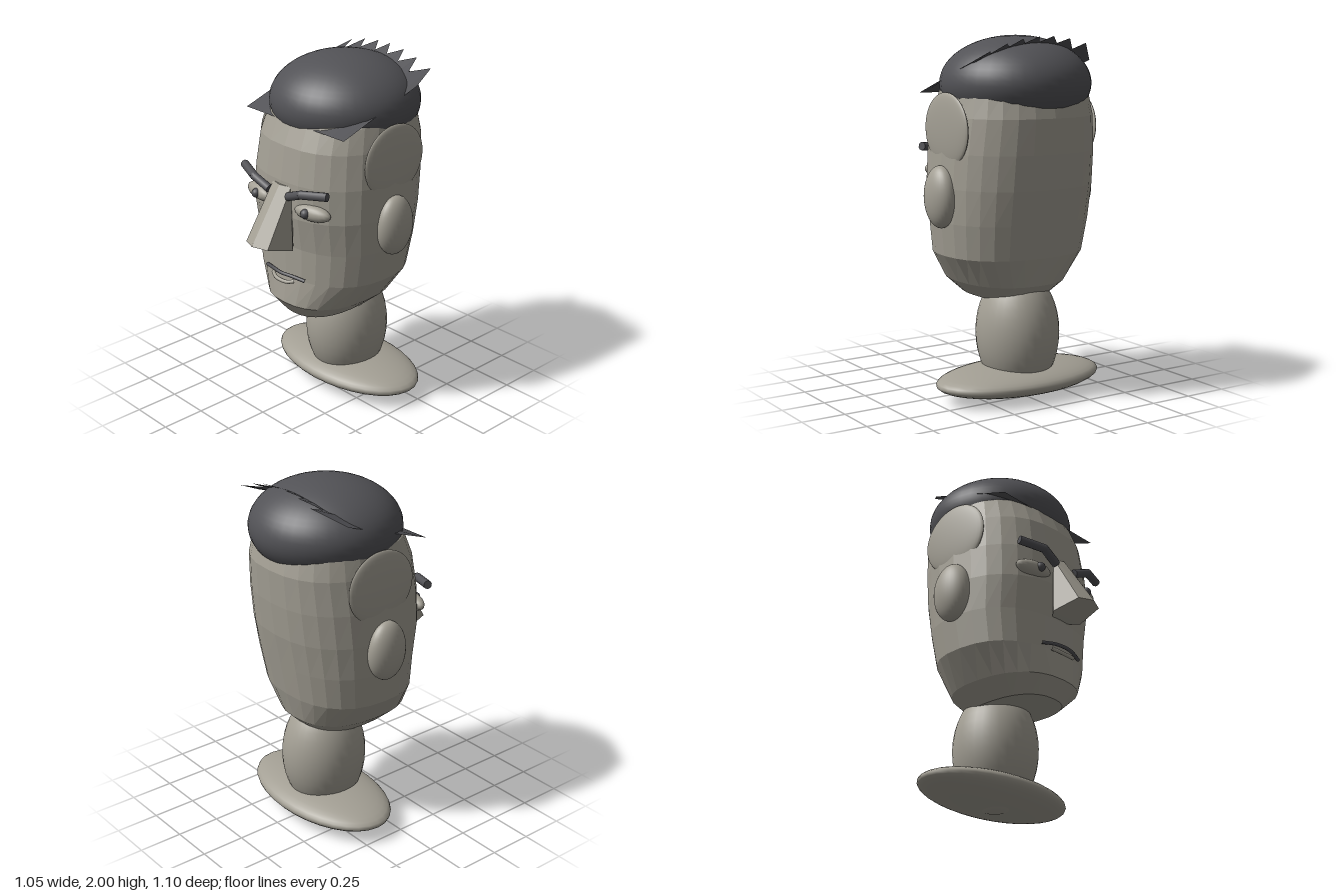
import * as THREE from 'three';

const skin = new THREE.MeshStandardMaterial({ color: 0xa39f94 });
skin.name = 'skin';
const skinFaceted = skin.clone();
skinFaceted.flatShading = true;
skinFaceted.name = 'skin faceted';
const hair = new THREE.MeshStandardMaterial({ color: 0x525256 });
hair.name = 'hair';
const hairSheet = hair.clone();
hairSheet.side = THREE.DoubleSide;
hairSheet.flatShading = true;
hairSheet.name = 'hair sheet';

export function createModel() {
  const model = new THREE.Group();
  model.name = 'headBust';

  const add = (name, geometry, material) => {
    const mesh = new THREE.Mesh(geometry, material);
    mesh.name = name;
    model.add(mesh);
    return mesh;
  };
  const ellipsoid = (name, material, pos, radii, w = 32, h = 20) => {
    const mesh = add(name, new THREE.SphereGeometry(1, w, h), material);
    mesh.position.set(...pos);
    mesh.scale.set(...radii);
    return mesh;
  };
  const rod = (name, material, a, b, r) => {
    const p = new THREE.Vector3(...a), q = new THREE.Vector3(...b);
    const mesh = add(name, new THREE.CylinderGeometry(r, r, p.distanceTo(q), 10), material);
    mesh.position.copy(p).add(q).multiplyScalar(0.5);
    mesh.quaternion.setFromUnitVectors(new THREE.Vector3(0, 1, 0), q.sub(p).normalize());
    return mesh;
  };
  const indexed = (points, index) => {
    const g = new THREE.BufferGeometry();
    g.setAttribute('position', new THREE.Float32BufferAttribute(points.flat(), 3));
    g.setIndex(index);
    g.computeVertexNormals();
    return g;
  };

  // Head: rounded-square rings [y, half width, front z, back z]
  const rings = [
    [0.56, 0.195, 0.26, -0.28], [0.65, 0.30, 0.33, -0.37], [0.81, 0.41, 0.31, -0.415],
    [1.0, 0.435, 0.315, -0.45], [1.19, 0.445, 0.345, -0.485], [1.38, 0.44, 0.338, -0.505],
    [1.57, 0.42, 0.31, -0.515], [1.7, 0.395, 0.255, -0.485], [1.85, 0.25, 0.1, -0.36],
  ];
  const N = 28, pts = [], idx = [];
  const bend = (v) => Math.sign(v) * Math.pow(Math.abs(v), 2 / 2.4);
  for (const [y, hx, zf, zb] of rings) {
    for (let i = 0; i < N; i++) {
      const a = (i / N) * Math.PI * 2;
      pts.push([hx * bend(Math.sin(a)), y, (zf + zb) / 2 + ((zf - zb) / 2) * bend(Math.cos(a))]);
    }
  }
  for (let r = 0; r < rings.length - 1; r++) {
    for (let i = 0; i < N; i++) {
      const j = (i + 1) % N, a = r * N + i, b = r * N + j;
      idx.push(a, b, b + N, a, b + N, a + N);
    }
  }
  const last = (rings.length - 1) * N;
  for (let i = 1; i < N - 1; i++) idx.push(0, i + 1, i, last, last + i, last + i + 1);
  add('head', indexed(pts, idx), skinFaceted);

  // Neck and shoulder base
  ellipsoid('neck', skin, [0, 0.36, -0.157], [0.23, 0.355, 0.245]);
  ellipsoid('shoulderBase', skin, [0, 0.105, -0.17], [0.51, 0.085, 0.29]);

  // Nose: wedge with a slightly ridged front
  const nose = [
    [-0.072, 1.36, 0.33], [0, 1.36, 0.35], [0.072, 1.36, 0.33],
    [-0.115, 1.01, 0.36], [-0.088, 1.05, 0.515], [0, 1.055, 0.55],
    [0.088, 1.05, 0.515], [0.115, 1.01, 0.36], [0, 1.36, 0.25], [0, 1.01, 0.25],
  ];
  add('nose', indexed(nose, [
    0, 4, 5, 0, 5, 1, 1, 5, 6, 1, 6, 2, 0, 3, 4, 2, 6, 7,
    3, 7, 4, 4, 7, 6, 4, 6, 5, 8, 0, 1, 8, 1, 2,
    8, 3, 0, 8, 9, 3, 8, 2, 7, 8, 7, 9, 9, 7, 3,
  ]), skinFaceted);

  // Paired features
  for (const s of [-1, 1]) {
    const side = s > 0 ? 'left' : 'right';
    ellipsoid(side + 'Ear', skin, [s * 0.447, 1.14, -0.08], [0.078, 0.17, 0.12]);
    ellipsoid(side + 'Temple', skin, [s * 0.417, 1.5, -0.097], [0.029, 0.2, 0.217]);
    const eye = ellipsoid(side + 'Eye', skin, [s * 0.215, 1.247, 0.305], [0.115, 0.045, 0.045], 20, 12);
    eye.rotation.y = s * 0.2;
    ellipsoid(side + 'Iris', hair, [s * 0.2, 1.25, 0.342], [0.027, 0.027, 0.03], 16, 12);
    const elbow = [s * 0.19, 1.36, 0.365];
    rod(side + 'BrowOuter', hair, [s * 0.335, 1.375, 0.31], elbow, 0.024);
    rod(side + 'BrowInner', hair, elbow, [s * 0.078, 1.315, 0.355], 0.024);
    ellipsoid(side + 'BrowJoint', hair, elbow, [0.024, 0.024, 0.024], 12, 8);
  }

  // Mouth line and lower lip
  const tube = (name, material, path, r) => {
    const curve = new THREE.CatmullRomCurve3(path.map((p) => new THREE.Vector3(...p)));
    add(name, new THREE.TubeGeometry(curve, 16, r, 8), material);
  };
  tube('mouthLine', hair, [[-0.157, 0.825, 0.31], [-0.07, 0.836, 0.335], [0, 0.836, 0.345],
    [0.07, 0.836, 0.335], [0.157, 0.825, 0.31]], 0.01);
  tube('lowerLip', skin, [[-0.09, 0.808, 0.325], [-0.045, 0.795, 0.345], [0.045, 0.795, 0.345],
    [0.09, 0.808, 0.325]], 0.011);

  // Hair cap
  ellipsoid('hairCap', hair, [0, 1.74, -0.133], [0.415, 0.26, 0.415], 40, 28);

  // Arched hair sheet with a sawtooth rear edge: stations [x, rear z]
  const edge = [
    [-0.385, -0.29], [-0.255, -0.43], [-0.235, -0.335], [-0.15, -0.43], [-0.115, -0.36],
    [-0.045, -0.43], [0, -0.36], [0.045, -0.43], [0.09, -0.36], [0.15, -0.43],
    [0.185, -0.35], [0.25, -0.43], [0.285, -0.33], [0.355, -0.43], [0.387, -0.29],
  ];
  const sheet = [], tri = [];
  edge.forEach(([x, z], i) => {
    const t = (0.245 - z) / 0.675;
    sheet.push([x, 1.68, 0.245], [x, 1.68 + t * (0.318 - 0.6 * x * x), z]);
    if (i) {
      const a = 2 * i - 2;
      tri.push(a, a + 2, a + 3, a, a + 3, a + 1);
    }
  });
  add('hairSpikes', indexed(sheet, tri), hairSheet);

  return model;
}
